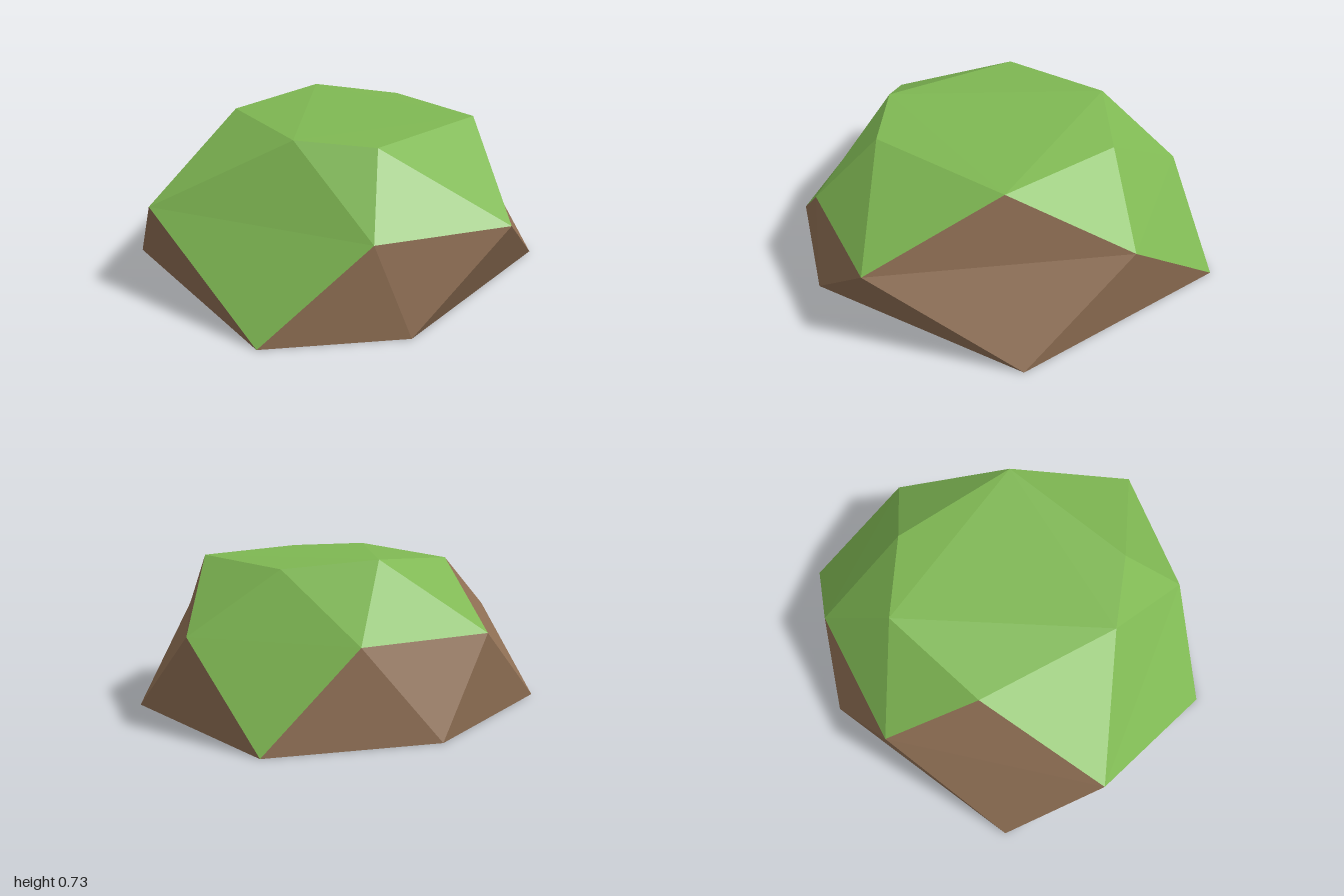
import * as THREE from 'three';

// Rings of six points, counter-clockwise seen from above, starting at the front
const base = [[-0.24, 0, 1], [0.38, 0, 0.86], [0.96, 0, -0.07], [0.36, 0, -1], [-0.38, 0, -0.81], [-0.96, 0, 0.06]];
const middle = [[0.22, 0.405, 0.85], [0.785, 0.405, 0.6], [0.68, 0.405, -0.56], [-0.04, 0.405, -0.855], [-0.615, 0.405, -0.51], [-0.785, 0.405, 0.5]];
const top = [[-0.14, 0.73, 0.51], [0.22, 0.717, 0.55], [0.645, 0.71, 0], [0.28, 0.685, -0.5], [-0.14, 0.725, -0.5], [-0.49, 0.7, -0.08]];

function facetMesh(name, triangles, material) {
  const geometry = new THREE.BufferGeometry();
  geometry.setAttribute('position', new THREE.Float32BufferAttribute(triangles.flat(2), 3));
  geometry.computeVertexNormals(); // unshared corners give flat facets
  const mesh = new THREE.Mesh(geometry, material);
  mesh.name = name;
  return mesh;
}

export function createModel() {
  const grass = new THREE.MeshStandardMaterial({ color: 0x7fb853 });
  grass.name = 'grass green';
  const earth = new THREE.MeshStandardMaterial({ color: 0x8f6f54 });
  earth.name = 'earth brown';
  grass.flatShading = earth.flatShading = true;

  const grassFaces = [], earthFaces = [];
  for (let i = 0; i < 6; i++) {
    const next = (i + 1) % 6, prev = (i + 5) % 6;
    // Lower band: grass spills to the ground at the front and back
    earthFaces.push([base[i], base[next], middle[i]]);
    (i % 3 === 0 ? grassFaces : earthFaces).push([middle[prev], base[i], middle[i]]);
    // Upper band: bare earth reaches the top on the two sides
    (i % 3 === 2 ? earthFaces : grassFaces).push([middle[prev], middle[i], top[i]]);
    grassFaces.push([middle[i], top[next], top[i]]);
  }

  // Crown
  for (const [a, b, c] of [[0, 1, 2], [0, 2, 4], [2, 3, 4], [0, 4, 5]]) {
    grassFaces.push([top[a], top[b], top[c]]);
  }
  // Underside
  for (let i = 1; i < 5; i++) earthFaces.push([base[0], base[i + 1], base[i]]);

  const group = new THREE.Group();
  group.name = 'grassyMound';
  group.add(facetMesh('grassCover', grassFaces, grass), facetMesh('earthBody', earthFaces, earth));
  return group;
}
